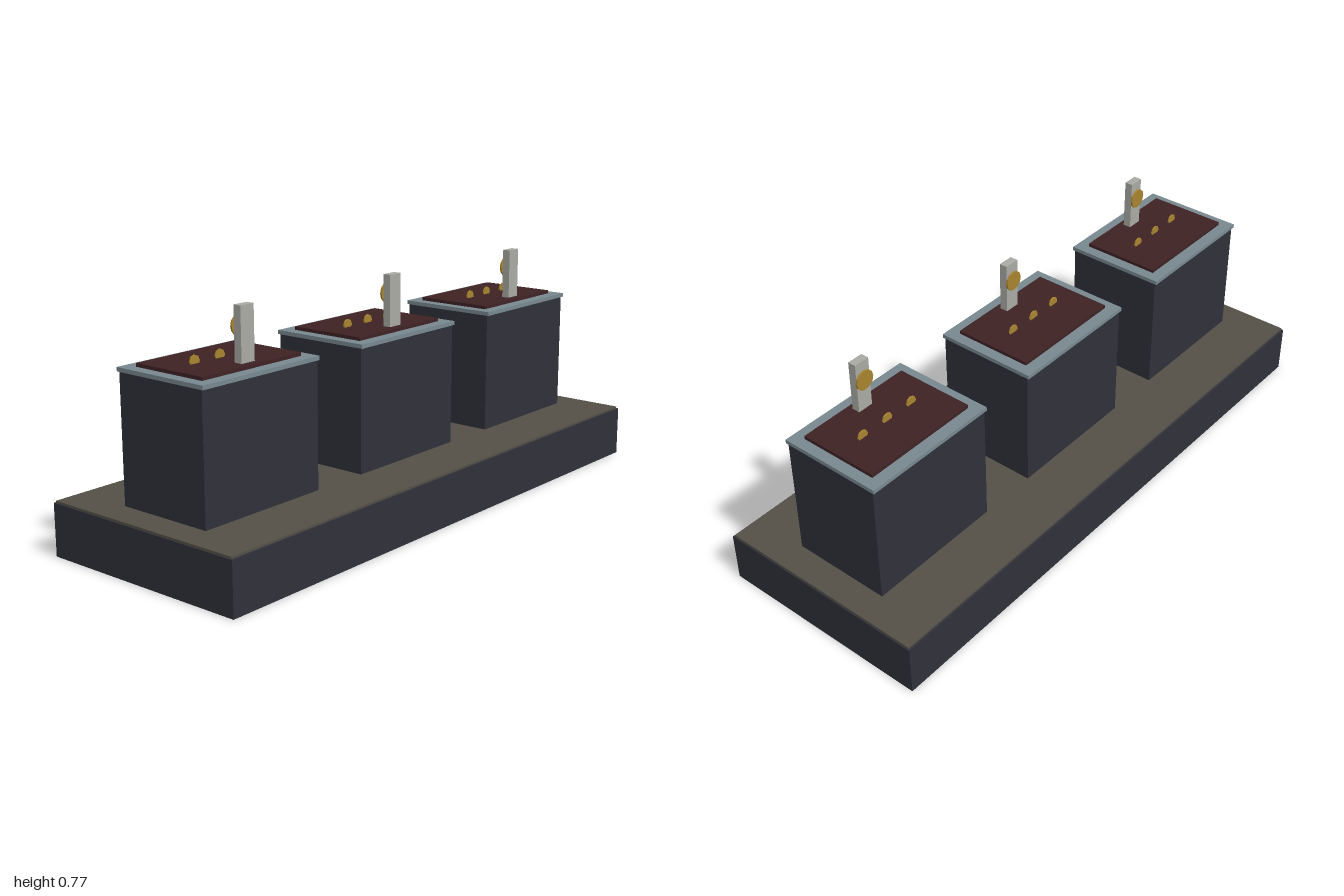
import * as THREE from 'three';

const material = (name, color) => {
  const m = new THREE.MeshStandardMaterial({ color });
  m.name = name;
  return m;
};

export function createModel() {
  const stone = material('dark stone', 0x30303a);
  const slate = material('grey brown floor', 0x545047);
  const steel = material('blue grey trim', 0x788890);
  const velvet = material('dark red velvet', 0x3f2224);
  const gold = material('gold', 0xa8842f);
  const plate = material('pale grey', 0xaaaaa4);

  const model = new THREE.Group();
  model.name = 'displayPlinths';

  // box given by its width, depth, bottom and top
  const box = (parent, name, mat, w, d, y0, y1, z = 0) => {
    const mesh = new THREE.Mesh(new THREE.BoxGeometry(w, y1 - y0, d), mat);
    mesh.name = name;
    mesh.position.set(0, (y0 + y1) / 2, z);
    parent.add(mesh);
  };

  // upright faceted disc facing along z
  const disc = (parent, name, r, t, sides, x, y, z) => {
    const geo = new THREE.CylinderGeometry(r, r, t, sides).toNonIndexed();
    geo.rotateX(Math.PI / 2);
    geo.computeVertexNormals();
    const mesh = new THREE.Mesh(geo, gold);
    mesh.name = name;
    mesh.position.set(x, y, z);
    parent.add(mesh);
  };

  // shared base
  box(model, 'base', stone, 2, 0.733, 0, 0.167);
  box(model, 'baseTop', slate, 1.993, 0.72, 0.167, 0.174);

  // three identical plinths
  for (const x of [-0.667, 0, 0.667]) {
    const plinth = new THREE.Group();
    plinth.name = 'plinth';
    plinth.position.x = x;
    box(plinth, 'pedestal', stone, 0.467, 0.333, 0.167, 0.574);
    box(plinth, 'trim', steel, 0.473, 0.347, 0.574, 0.587);
    box(plinth, 'velvetPad', velvet, 0.4, 0.267, 0.587, 0.598);
    // row of small medallions
    for (const dx of [-0.1, 0, 0.1]) disc(plinth, 'medallion', 0.019, 0.005, 8, dx, 0.605, 0);
    // name plate with a round seal on its back
    box(plinth, 'uprightPlate', plate, 0.053, 0.027, 0.6, 0.767, 0.1);
    disc(plinth, 'seal', 0.033, 0.006, 12, 0, 0.705, 0.081);
    model.add(plinth);
  }
  return model;
}
